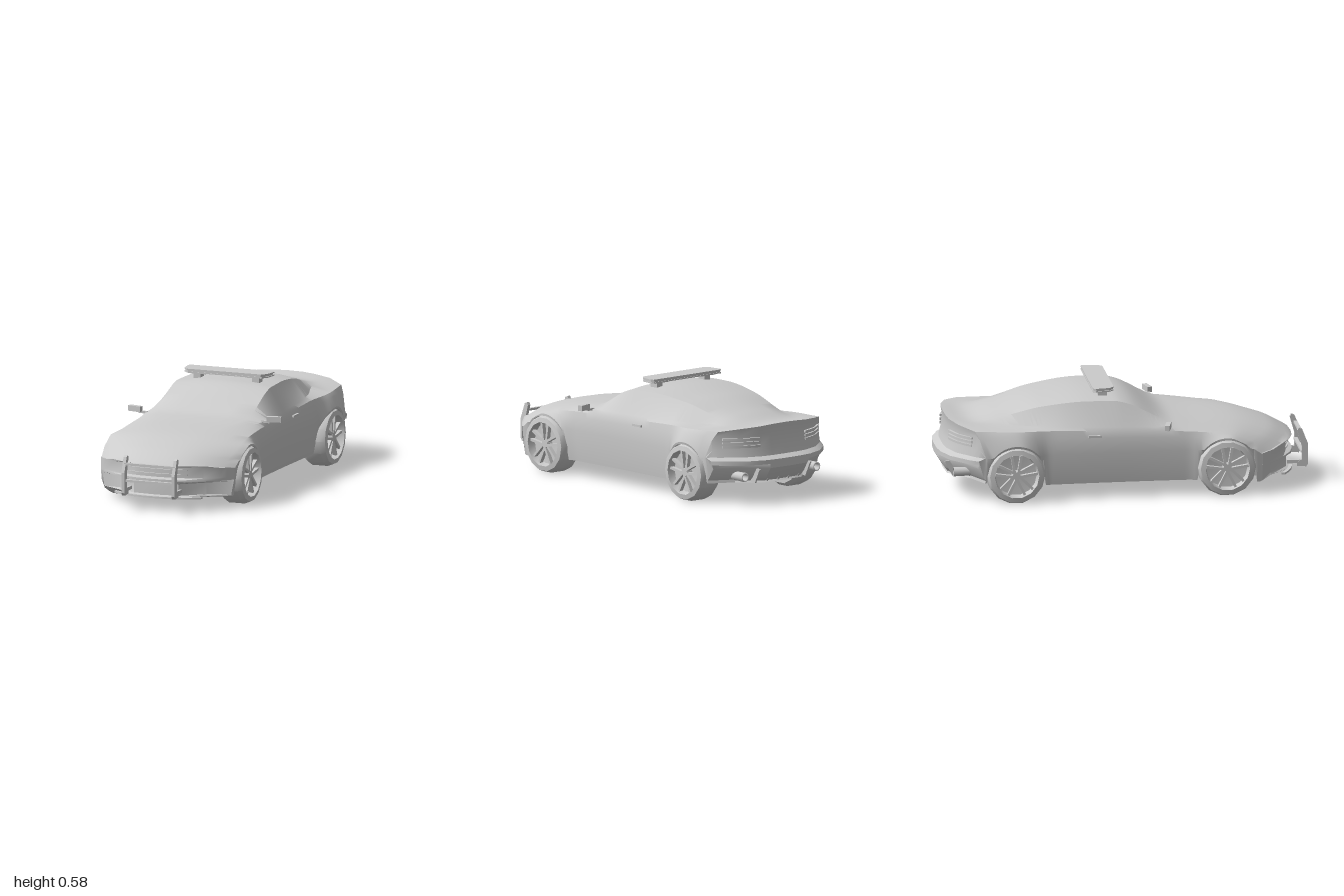
import * as THREE from 'three';
import { toCreasedNormals } from 'three/addons/utils/BufferGeometryUtils.js';

const grey = new THREE.MeshStandardMaterial({ color: 0xcccccc, side: THREE.DoubleSide });
const FRONT_AXLE = 0.53, REAR_AXLE = -0.61, AXLE_Y = 0.158;

function add(parent, name, geometry, x = 0, y = 0, z = 0) {
  const mesh = new THREE.Mesh(geometry, grey);
  mesh.name = name;
  mesh.position.set(x, y, z);
  parent.add(mesh);
  return mesh;
}
const box = (w, h, d) => new THREE.BoxGeometry(w, h, d);

// Smooth, non-overshooting curve through [s, value] points, s falling from nose to tail
function profile(pts) {
  const d = pts.slice(1).map((p, i) => (p[1] - pts[i][1]) / (p[0] - pts[i][0]));
  const m = pts.map((_, i) => {
    if (i === 0) return d[0];
    if (i === d.length) return d[i - 1];
    return d[i - 1] * d[i] <= 0 ? 0 : (2 * d[i - 1] * d[i]) / (d[i - 1] + d[i]);
  });
  return (s) => {
    if (s >= pts[0][0]) return pts[0][1];
    if (s <= pts[pts.length - 1][0]) return pts[pts.length - 1][1];
    let i = 0;
    while (s < pts[i + 1][0]) i++;
    const h = pts[i + 1][0] - pts[i][0], t = (s - pts[i][0]) / h, u = 1 - t;
    return pts[i][1] * (1 + 2 * t) * u * u + pts[i + 1][1] * t * t * (3 - 2 * t)
      + h * (m[i] * t * u * u - m[i + 1] * t * t * u);
  };
}

// Body lines along the length
const floorY = profile([[0.91, 0.07], [0.6, 0.075], [0.35, 0.09], [-0.45, 0.09], [-0.8, 0.105], [-1, 0.12]]);
const sideX = profile([[0.91, 0.388], [0.7, 0.4], [0.5, 0.395], [0.32, 0.375], [0, 0.37], [-0.45, 0.375],
  [-0.57, 0.4], [-0.7, 0.418], [-0.85, 0.415], [-1, 0.4]]);
const beltX = profile([[0.91, 0.335], [0.7, 0.362], [0.4, 0.358], [0, 0.355], [-0.4, 0.352], [-0.7, 0.378], [-0.95, 0.36]]);
const beltY = profile([[0.91, 0.235], [0.8, 0.29], [0.65, 0.335], [0.5, 0.348], [0.3, 0.36], [0, 0.37], [-0.4, 0.385], [-0.95, 0.4]]);
const baseX = profile([[0.91, 0.26], [0.6, 0.28], [0.3, 0.32], [0.2, 0.343], [0, 0.343], [-0.3, 0.333], [-0.5, 0.31],
  [-0.75, 0.245], [-0.95, 0.26]]);
const baseY = profile([[0.91, 0.25], [0.8, 0.302], [0.6, 0.352], [0.3, 0.38], [0.2, 0.385], [-0.4, 0.4], [-0.7, 0.408], [-0.95, 0.416]]);
const roofX = profile([[0.91, 0.17], [0.4, 0.2], [0.24, 0.26], [0, 0.272], [-0.2, 0.265], [-0.5, 0.235], [-0.75, 0.2], [-0.95, 0.16]]);
const roofY = profile([[0.91, 0.258], [0.8, 0.311], [0.6, 0.36], [0.3, 0.391], [0.24, 0.398], [0, 0.505], [-0.06, 0.518],
  [-0.2, 0.52], [-0.45, 0.495], [-0.7, 0.435], [-0.85, 0.412], [-0.95, 0.423]]);
const topY = profile([[0.91, 0.262], [0.8, 0.316], [0.6, 0.365], [0.3, 0.395], [0.24, 0.404], [0, 0.525], [-0.06, 0.537],
  [-0.2, 0.54], [-0.45, 0.515], [-0.7, 0.455], [-0.85, 0.418], [-0.95, 0.43]]);

// Plan curvature of nose and tail
const frontBow = (x) => 0.2 * (Math.abs(x) / 0.39) ** 2.5;
const rearBow = (x) => 0.2 * (Math.abs(x) / 0.41) ** 3;
function bowedZ(s, x) {
  if (s > 0.3) return s - frontBow(x) * (s - 0.3) / 0.61;
  if (s < -0.35) return s + rearBow(x) * (-0.35 - s) / 0.65;
  return s;
}

// One closed cross-section; wheel arches lift the sill, lo/hi trim it to close the ends
function ring(s, lo = 0, hi = 1, dent = 0) {
  const yb = floorY(s), w = sideX(s), zSide = bowedZ(s, w);
  let arch = yb;
  for (const c of [FRONT_AXLE, REAR_AXLE]) {
    const k = 0.153 ** 2 - (zSide - c) ** 2;
    if (k > 0) arch = Math.max(arch, AXLE_Y + Math.sqrt(k));
  }
  const bX = beltX(s), bY = beltY(s), rX = roofX(s), rY = roofY(s), tY = topY(s);
  const midY = Math.min(Math.max(0.26, arch + 0.012), bY - 0.005);
  const half = [
    [0, yb], [0.13, yb], [0.25, yb, zSide * 0.5 + bowedZ(s, 0.25) * 0.5], [0.25, arch, zSide * 0.5 + bowedZ(s, 0.25) * 0.5],
    [w - 0.02 * (1 - (arch - yb) / 0.24), arch, zSide], [w, midY],
    [bX * 0.55 + w * 0.45, midY * 0.3 + bY * 0.7], [bX, bY], [baseX(s), baseY(s)],
    [rX, rY], [rX * 0.55, tY * 0.75 + rY * 0.25], [0, tY],
  ].map(([x, y, z = bowedZ(s, x)]) =>
    [x, THREE.MathUtils.clamp(y, lo, hi), z - dent * Math.max(0, 1 - (x / 0.27) ** 4)]);
  const mirrored = half.slice(1, -1).reverse().map(([x, y, z]) => [-x, y, z]);
  return [...half, ...mirrored];
}

function bodyGeometry() {
  const rings = [
    ring(0.925, 0.165, 0.165), ring(0.925, 0.155, 0.175), ring(0.925, 0.148, 0.182, 0.03),
    ring(0.925, 0.085, 0.24, 0.03), ring(0.925, 0.075, 0.25),
  ];
  for (let i = 0; i <= 74; i++) rings.push(ring(0.91 - i * 0.0252));
  rings.push(ring(-0.945, 0.125, 0.375), ring(-0.955, 0.135, 0.3), ring(-0.965, 0.145, 0.262),
    ring(-1, 0.2, 0.245), ring(-1, 0.222, 0.222));
  const n = rings[0].length, index = [];
  for (let i = 0; i < rings.length - 1; i++) {
    for (let j = 0; j < n; j++) {
      const a = i * n + j, b = i * n + (j + 1) % n;
      index.push(a, a + n, b, b, a + n, b + n);
    }
  }
  const geo = new THREE.BufferGeometry();
  geo.setAttribute('position', new THREE.Float32BufferAttribute(rings.flat(2), 3));
  geo.setIndex(index);
  return toCreasedNormals(geo, 0.55);
}

// Bar that follows the curve of the nose or tail
function bowedBar(w, h, d, x, y, z, bow) {
  const geo = new THREE.BoxGeometry(w, h, d, 10, 1, 1).translate(x, y, z);
  const p = geo.attributes.position;
  for (let i = 0; i < p.count; i++) p.setZ(i, p.getZ(i) - Math.sign(z) * bow(p.getX(i)));
  geo.computeVertexNormals();
  return geo;
}

function wheel(name, side, z) {
  const g = new THREE.Group();
  g.name = name;
  const tyre = [[0, 0], [0.14, 0], [0.157, 0.02], [0.157, 0.11], [0.146, 0.138], [0.12, 0.143], [0.112, 0.1], [0, 0.09]]
    .map(([r, h]) => new THREE.Vector2(r, h));
  add(g, 'tyre', toCreasedNormals(new THREE.LatheGeometry(tyre, 14).rotateZ(-Math.PI / 2), 0.5));
  add(g, 'hub', new THREE.CylinderGeometry(0.022, 0.026, 0.035, 10).rotateZ(-Math.PI / 2), 0.112);
  for (let i = 0; i < 5; i++) {
    for (const k of [-1, 1]) {
      const spoke = add(g, 'spoke', box(0.022, 0.108, 0.014).translate(0, 0.06, k * 0.008), 0.118);
      spoke.rotation.x = i * Math.PI * 0.4 + k * 0.16;
    }
  }
  g.position.set(side * (z > 0 ? 0.27 : 0.278), AXLE_Y, z);
  if (side < 0) g.rotation.y = Math.PI;
  return g;
}

export function createModel() {
  const car = new THREE.Group();
  car.name = 'car';
  add(car, 'body', bodyGeometry());

  // Grille slats and lower lip
  for (const y of [0.2, 0.225]) add(car, 'grilleSlat', bowedBar(0.36, 0.006, 0.012, 0, y, 0.9, frontBow));
  add(car, 'frontLip', bowedBar(0.5, 0.01, 0.02, 0, 0.076, 0.918, frontBow));

  // Push bar
  const outline = new THREE.Shape([[0.94, 0.09], [0.99, 0.085], [1, 0.1], [1, 0.21], [0.968, 0.292], [0.95, 0.3],
    [0.942, 0.285], [0.966, 0.2], [0.966, 0.125], [0.94, 0.11]].map(([z, y]) => new THREE.Vector2(z, y)));
  const upright = new THREE.ExtrudeGeometry(outline, { depth: 0.018, bevelEnabled: false })
    .rotateY(-Math.PI / 2).translate(0.009, 0, 0);
  for (const y of [0.165, 0.255]) add(car, 'pushBarRail', box(0.29, 0.012, 0.02), 0, y, 0.972);

  // Light bar: three stacked layers on two feet
  for (const [inset, top, h] of [[0, 0.568, 0.006], [0.006, 0.577, 0.009], [0, 0.583, 0.006]]) {
    const s = new THREE.Shape([[-0.24, -0.175], [0.24, -0.175], [0.25, -0.16], [0.24, -0.085], [0.215, -0.06],
      [-0.215, -0.06], [-0.24, -0.085], [-0.25, -0.16]]
      .map(([x, z]) => new THREE.Vector2(x * (1 - inset * 4), -0.117 + (z + 0.117) * (1 - inset * 10))));
    add(car, 'lightBar', new THREE.ExtrudeGeometry(s, { depth: h, bevelEnabled: false }).rotateX(Math.PI / 2), 0, top);
  }

  // Diffuser fins
  for (const x of [-0.18, -0.11, -0.037, 0.037, 0.11, 0.18]) {
    const fin = new THREE.Shape([[-0.86, 0.112], [-0.945, 0.115], [-0.985, 0.195], [-0.9, 0.2]]
      .map(([z, y]) => new THREE.Vector2(z, y)));
    add(car, 'diffuserFin', new THREE.ExtrudeGeometry(fin, { depth: 0.01, bevelEnabled: false })
      .rotateY(-Math.PI / 2), x + 0.005, 0, rearBow(x));
  }

  for (const side of [-1, 1]) {
    const label = side > 0 ? 'left' : 'right';
    car.add(wheel(label + 'FrontWheel', side, FRONT_AXLE), wheel(label + 'RearWheel', side, REAR_AXLE));
    add(car, 'pushBarUpright', upright, side * 0.145);
    add(car, 'pushBarBracket', box(0.012, 0.018, 0.08), side * 0.145, 0.113, 0.925);
    add(car, 'lightBarFoot', box(0.04, 0.035, 0.05), side * 0.17, 0.546, -0.117);
    add(car, 'lightBarPlate', box(0.1, 0.006, 0.08), side * 0.165, 0.559, -0.117);

    // Wing mirrors and door handles
    const mirror = add(car, 'mirror', box(0.078, 0.03, 0.026), side * 0.402, 0.401, 0.208);
    mirror.rotation.y = side * 0.25;
    add(car, 'mirrorStalk', box(0.05, 0.012, 0.014), side * 0.355, 0.385, 0.21);
    add(car, 'doorHandle', box(0.012, 0.012, 0.07), side * 0.365, 0.35, -0.18);

    // Tail lights and exhausts
    for (const y of [0.318, 0.338, 0.358])
      add(car, 'tailLight', bowedBar(0.18, 0.012, 0.03, side * 0.25, y, -0.945, rearBow));
    const pipe = new THREE.LatheGeometry([[0.024, -0.05], [0.026, 0.04], [0.018, 0.04], [0.016, 0]]
      .map(([r, h]) => new THREE.Vector2(r, h)), 12).rotateX(-Math.PI / 2);
    add(car, 'exhaust', pipe, side * 0.255, 0.155, -0.89);
  }
  return car;
}
